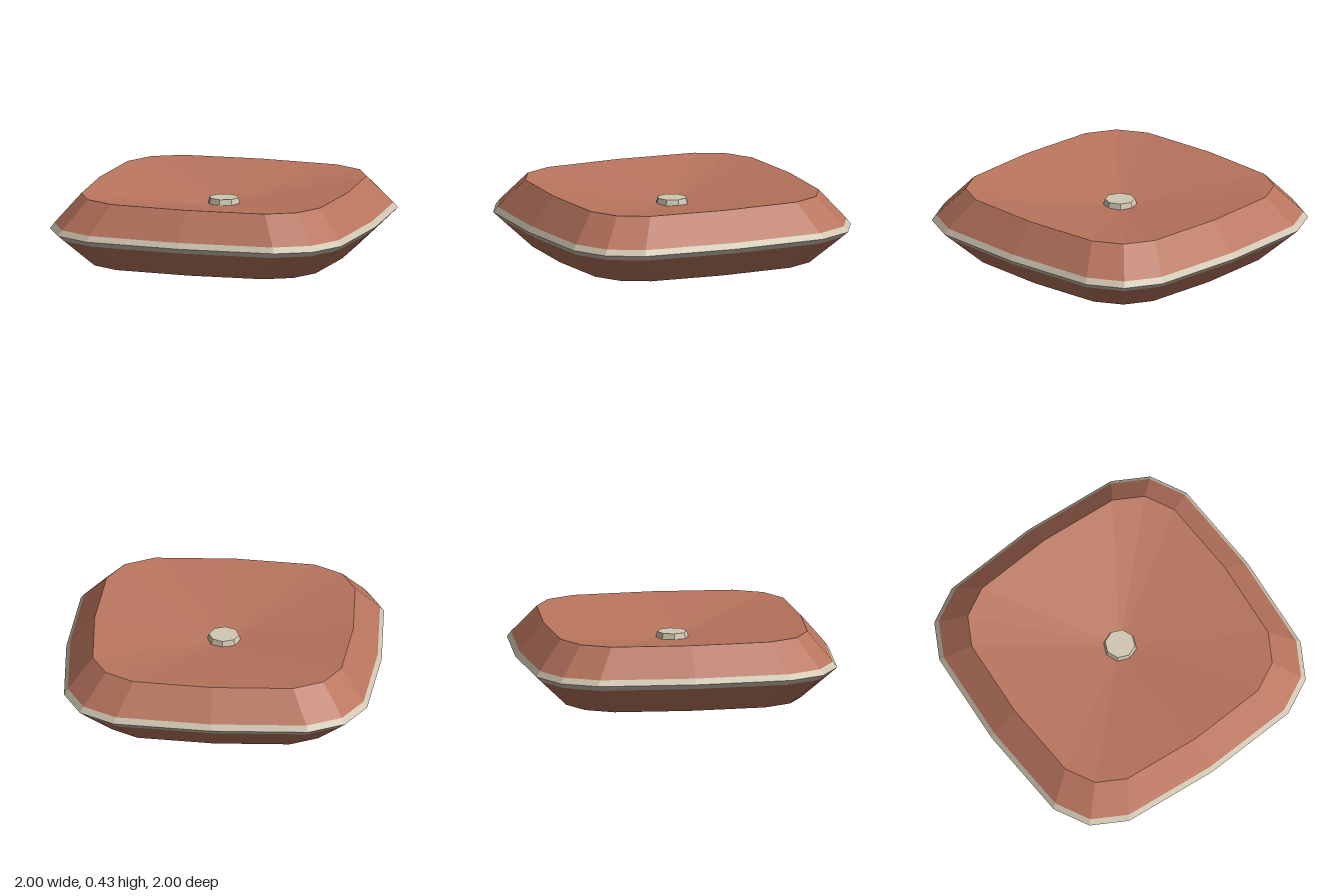
import * as THREE from 'three';

const SIDES = 16;

// One [x, z] point of the rounded-square outline (superellipse)
function outline(i) {
  const a = (i / SIDES) * Math.PI * 2;
  const soft = (v) => (Math.abs(v) < 1e-9 ? 0 : Math.sign(v) * Math.sqrt(Math.abs(v)));
  return [soft(Math.sin(a)), soft(Math.cos(a))];
}

// Skin through scaled outlines, profile = [scale, y] listed from bottom to top
function skin(profile) {
  const pos = [];
  const point = (i, [s, y]) => {
    const [x, z] = outline(i);
    return [x * s, y, z * s];
  };
  for (let j = 0; j < profile.length - 1; j++) {
    const lo = profile[j], hi = profile[j + 1];
    for (let i = 0; i < SIDES; i++) {
      const a = point(i, lo), b = point(i + 1, lo), c = point(i + 1, hi), d = point(i, hi);
      if (lo[0] > 0) pos.push(...a, ...b, ...c);
      if (hi[0] > 0) pos.push(...a, ...c, ...d);
      // fans that close on the centre
      if (lo[0] > 0 && hi[0] === 0) continue;
    }
  }
  const geo = new THREE.BufferGeometry();
  geo.setAttribute('position', new THREE.Float32BufferAttribute(pos, 3));
  geo.computeVertexNormals();
  return geo;
}

export function createModel() {
  const fabric = new THREE.MeshStandardMaterial({ color: 0xb8745d, flatShading: true });
  fabric.name = 'terracotta fabric';
  const trim = new THREE.MeshStandardMaterial({ color: 0xd0c6b2, flatShading: true });
  trim.name = 'beige trim';

  const group = new THREE.Group();
  group.name = 'cushion';
  const add = (name, geo, mat) => {
    const mesh = new THREE.Mesh(geo, mat);
    mesh.name = name;
    group.add(mesh);
    return mesh;
  };

  // Underside, slightly dished, with its sloping sides
  add('lowerCushion', skin([[0, 0.03], [0.78, 0], [0.965, 0.18]]), fabric);
  // Piping around the widest line
  add('piping', skin([[0.965, 0.18], [1, 0.215], [0.975, 0.25]]), trim);
  // Upper sides and the top that sinks towards the button
  add('upperCushion', skin([[0.975, 0.25], [0.82, 0.43], [0, 0.3]]), fabric);
  // Centre button
  add('button', new THREE.CylinderGeometry(0.095, 0.11, 0.05, 8), trim).position.y = 0.325;

  return group;
}
